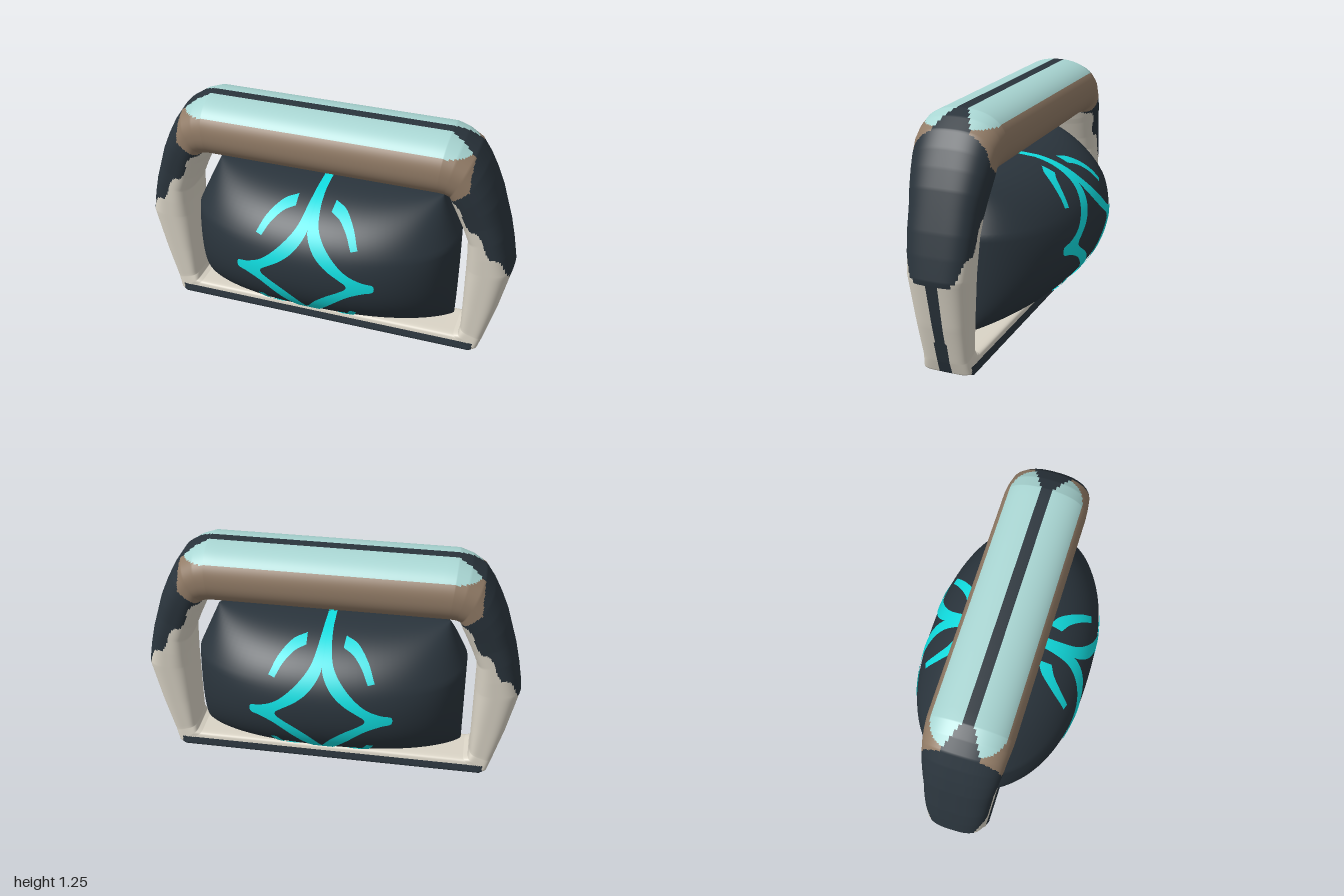
import * as THREE from 'three';

const mat = (name, color, side = THREE.FrontSide) => {
  const m = new THREE.MeshStandardMaterial({ color, side });
  m.name = name;
  return m;
};

// Surface from fn(i, j) -> [x, y, z], optionally closed in either direction
function grid(nu, nv, fn, wrapU = false, wrapV = false) {
  const cu = wrapU ? nu : nu + 1, cv = wrapV ? nv : nv + 1;
  const pos = [], index = [];
  for (let i = 0; i < cu; i++) for (let j = 0; j < cv; j++) pos.push(...fn(i, j));
  for (let i = 0; i < nu; i++) for (let j = 0; j < nv; j++) {
    const i2 = (i + 1) % cu, j2 = (j + 1) % cv;
    const a = i * cv + j, b = i2 * cv + j, c = i2 * cv + j2, d = i * cv + j2;
    index.push(a, b, c, a, c, d);
  }
  const g = new THREE.BufferGeometry();
  g.setAttribute('position', new THREE.Float32BufferAttribute(pos, 3));
  g.setIndex(index);
  g.computeVertexNormals();
  return g;
}

// Point on a unit superellipse at angle t
function superellipse(t, n) {
  const c = Math.cos(t), s = Math.sin(t);
  const r = (Math.abs(c) ** n + Math.abs(s) ** n) ** (-1 / n);
  return [r * c, r * s];
}

// Frame stations from top centre to bottom centre:
// inner x, inner y, outer x, outer y, half depth, squareness, hollowness
const STATIONS = [
  [0, .94, 0, 1.258, .217, 2.3, 0],
  [.60, .94, .63, 1.258, .217, 2.3, 0],
  [.63, .94, .70, 1.232, .213, 2.35, 0],
  [.65, .935, .77, 1.185, .207, 2.4, 0],
  [.665, .90, .82, 1.11, .202, 2.5, 0],
  [.68, .87, .86, 1.03, .195, 2.6, 0],
  [.70, .825, .898, .94, .185, 2.7, 0],
  [.725, .77, .925, .85, .175, 2.8, 0],
  [.757, .69, .955, .75, .169, 2.9, 0],
  [.76, .61, .98, .64, .163, 3, 0],
  [.76, .52, 1, .53, .155, 3, 0],
  [.76, .30, .945, .28, .135, 3.4, 0],
  [.76, .12, .89, .08, .12, 4, 0],
  [.755, .088, .865, .012, .126, 6, 0],
  [.73, .08, .83, 0, .128, 8, 1],
  [0, .08, 0, 0, .128, 8, 1],
];
const STEPS = 11, SEGS = 96;

function frameRings() {
  const half = [];
  for (let s = 0; s < STATIONS.length - 1; s++)
    for (let k = 0; k < STEPS; k++)
      half.push(STATIONS[s].map((v, n) => v + (STATIONS[s + 1][n] - v) * k / STEPS));
  half.push(STATIONS.at(-1));
  const mirrored = half.slice(1, -1).reverse().map(([a, b, c, ...rest]) => [-a, b, -c, ...rest]);
  return [...half, ...mirrored];
}

// Palette index: 0 charcoal, 1 pale teal, 2 brown, 3 cream
function frameColour([px, y, pz], j) {
  const x = Math.abs(px), z = Math.abs(pz);
  const outer = j < SEGS / 4 || j >= SEGS * 3 / 4;
  if (y < .1 && x < .84) return y < .05 ? 0 : 3;   // base bar
  if (outer && z < .03) return 0;                  // seam along the rim
  if (y > .955) {                                  // grip
    const endLimit = .63 + (z - .03) * 2;
    if (y > 1.187) return x < Math.min(.77, endLimit) ? 1 : 0;
    const limit = y < 1.03 ? .68 + (y - .955) * 1.1 : .768;
    if (x < Math.min(limit, endLimit)) return 2;
  }
  if (x < .64 && y > .92) return z < .075 ? 3 : 0; // dark lines under the grip
  const ripple = .025 * Math.sin(x * 55);
  return y < .52 + (1 - x) * 1.35 + ripple ? 3 : 0;
}

// Cushion body: half width shrinks towards the cut upper corners
const CY = .5075, HY = .3675, DEPTH = .445, NX = 2.35, NY = 2.12;
const bodyWidth = y => .71 - Math.max(0, y - .65) * .45;
const bulge = (u, n) => (1 - Math.min(1, Math.abs(u)) ** n) ** (1 / n);

// Point on the cushion face, lifted slightly for painted marks
function onBody(x, y, side) {
  const z = DEPTH * bulge(x / bodyWidth(y), NX) * bulge((y - CY) / HY, NY), k = 1.01;
  return [x, CY + (y - CY) * k, side * (z * k + .001)];
}

const curve = pts => new THREE.CatmullRomCurve3(pts.map(([x, y]) => new THREE.Vector3(x, y, 0)));

// Painted marks: one quarter each, as an outer and an inner edge
const MARKS = {
  starMark: [
    [[.022, .875], [.035, .82], [.058, .755], [.13, .665], [.23, .577], [.31, .541], [.362, .527], [.368, CY]],
    [[0, .875], [0, .81], [0, .745], [.05, .655], [.12, .59], [.19, .545], [.225, .52], [.23, CY]],
  ],
  arcMark: [
    [[.1, .848], [.17, .828], [.23, .775], [.27, .698]],
    [[.095, .818], [.15, .797], [.2, .752], [.237, .69]],
  ],
};

export function createModel() {
  const model = new THREE.Group();
  model.name = 'framedCushion';
  const dark = mat('charcoal', 0x2a343c);
  const teal = mat('paleTeal', 0xa9d6d3);
  const brown = mat('brown', 0x917b66);
  const cream = mat('cream', 0xdad4c6);
  const cyan = mat('brightCyan', 0x10dde0, THREE.DoubleSide);
  const add = (name, geometry, material, parent = model) => {
    const mesh = new THREE.Mesh(geometry, material);
    mesh.name = name;
    parent.add(mesh);
  };

  // Grip, legs and base: one closed loft, flared and recessed beneath the base
  const rings = frameRings();
  const frame = grid(SEGS, rings.length, (j, i) => {
    const [ix, iy, ox, oy, d, n, hollow] = rings[i];
    const [c, s] = superellipse(j / SEGS * Math.PI * 2, n);
    const k = Math.abs(s) < .88 ? Math.min(c / 2, .5 - .75 * hollow) : c / 2;
    const flare = 1 + .14 * hollow * k;
    return [(ix + ox) / 2 + (ox - ix) * k, (iy + oy) / 2 + (oy - iy) * k, d * s * flare];
  }, true, true);

  // Sort the quads of the loft into colours
  const p = frame.attributes.position, index = frame.index.array, buckets = [[], [], [], []];
  for (let q = 0; q < index.length; q += 6) {
    const ids = [index[q], index[q + 1], index[q + 2], index[q + 5]];
    const mid = ['getX', 'getY', 'getZ'].map(f => ids.reduce((sum, v) => sum + p[f](v), 0) / 4);
    buckets[frameColour(mid, Math.floor(q / 6 / rings.length))].push(...index.slice(q, q + 6));
  }
  frame.setIndex(buckets.flat());
  let start = 0;
  buckets.forEach((b, m) => { frame.addGroup(start, b.length, m); start += b.length; });
  add('frame', frame, [dark, teal, brown, cream]);

  // Bulging body inside the frame
  const NA = 96, NB = 56;
  add('body', grid(NA, NB, (i, j) => {
    const [cz, sx] = superellipse(i / NA * Math.PI * 2, NX);
    const [cy, sy] = superellipse((j / NB - .5) * Math.PI, NY);
    const y = CY + HY * sy;
    return [bodyWidth(y) * sx, y, DEPTH * cz * cy];
  }, true), dark);

  // Marks mirrored to all quarters of both faces
  const marks = new THREE.Group();
  marks.name = 'paintedMarks';
  model.add(marks);
  for (const [name, [outer, inner]] of Object.entries(MARKS)) {
    const co = curve(outer), ci = curve(inner);
    for (const side of [1, -1]) for (const sx of [1, -1]) for (const sy of [1, -1])
      add(name, grid(40, 6, (i, j) => {
        const q = co.getPoint(i / 40).lerp(ci.getPoint(i / 40), j / 6);
        const [x, y, z] = onBody(Math.max(0, q.x), CY + sy * (q.y - CY), side);
        return [sx * x, y, z];
      }), cyan, marks);
  }
  return model;
}
